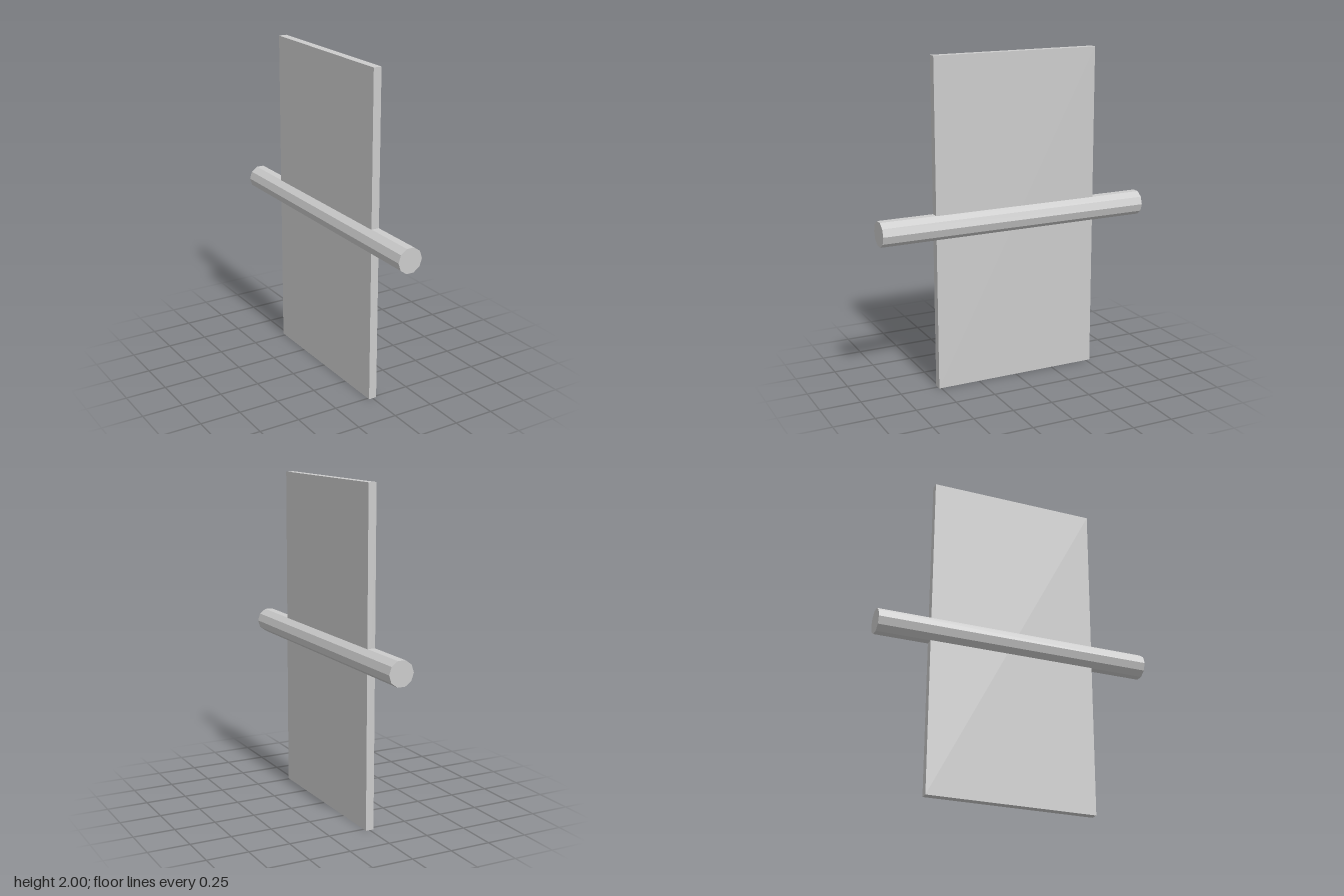
import * as THREE from 'three';

export function createModel() {
  const model = new THREE.Group();
  const material = new THREE.MeshStandardMaterial({ color: 0xcccccc, flatShading: true });

  // Thin upright panel
  const panel = new THREE.Mesh(new THREE.BoxGeometry(0.05, 2, 1.04), material);
  panel.name = 'panel';
  panel.position.set(0, 1, -0.007);
  model.add(panel);

  // Ten-sided rod through the panel's middle, with corners pointing to +x and -x
  const rodGeometry = new THREE.CylinderGeometry(0.077, 0.077, 1.714, 10, 1, false, Math.PI / 2);
  rodGeometry.rotateX(Math.PI / 2);
  const rod = new THREE.Mesh(rodGeometry, material);
  rod.name = 'rod';
  rod.position.y = 1.003;
  model.add(rod);

  return model;
}
